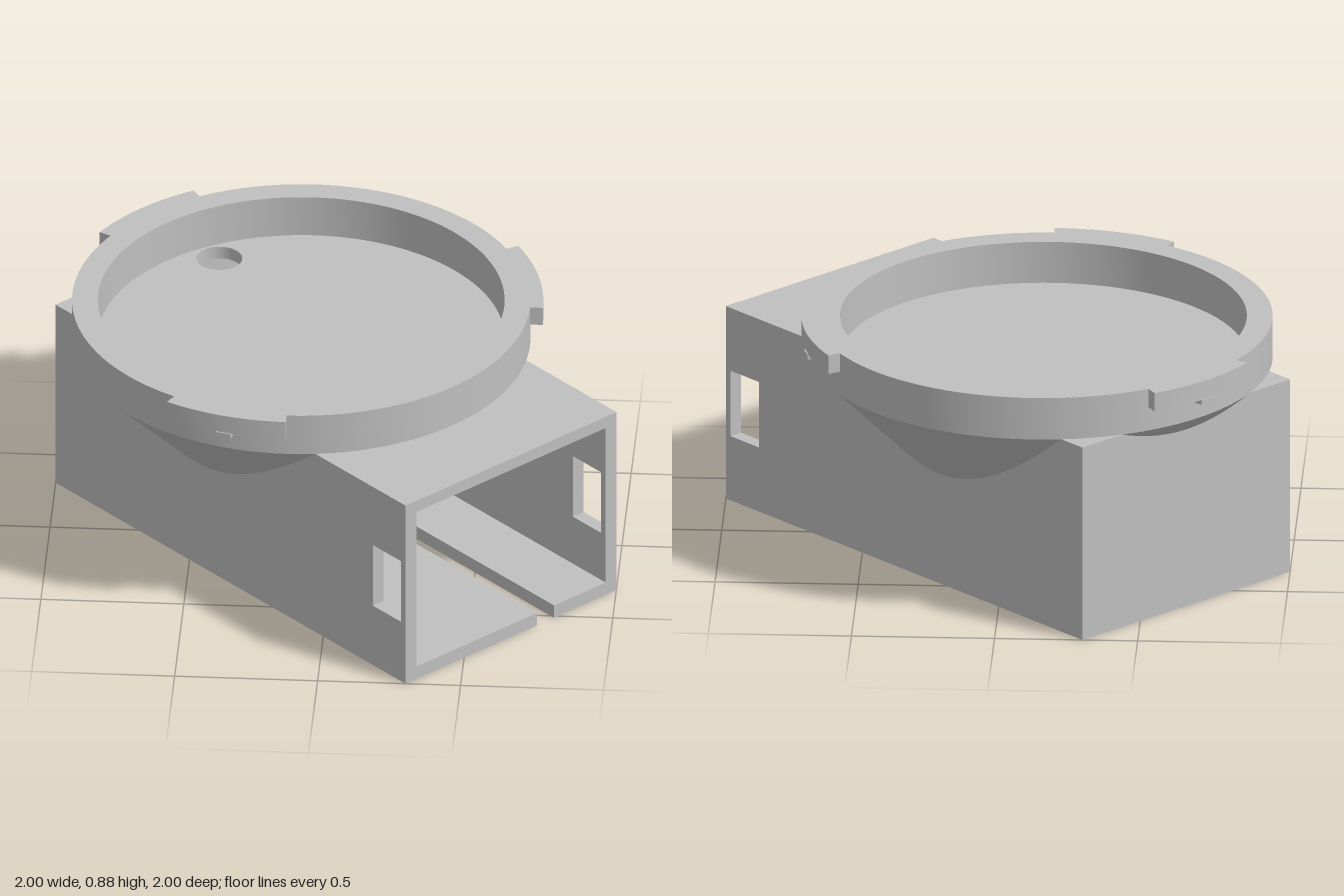
import * as THREE from 'three';
import { toCreasedNormals } from 'three/addons/utils/BufferGeometryUtils.js';
import { ParametricGeometry } from 'three/addons/geometries/ParametricGeometry.js';

const W = 0.49, L = 0.925, H = 0.72, T = 0.05;   // housing half width, half length, height, wall
const R = 0.8, RIN = 0.71, TOP = 0.875;          // pan radii and rim height
const PAN_Z = -0.184;                            // pan axis along the housing

const poly = (pts) => new THREE.Shape(pts.map(([x, y]) => new THREE.Vector2(x, y)));
const rect = (x0, y0, x1, y1) => poly([[x0, y0], [x1, y0], [x1, y1], [x0, y1]]);
const disc = (x, y, r) => new THREE.Shape().absarc(x, y, r, 0, Math.PI * 2, false);

function extrude(shape, depth) {
  return new THREE.ExtrudeGeometry(shape, { depth, bevelEnabled: false, curveSegments: 64 });
}
// Horizontal plate: shape drawn in (x, z), between y0 and y1
function slab(shape, y0, y1) {
  return toCreasedNormals(extrude(shape, y1 - y0).rotateX(Math.PI / 2).translate(0, y1, 0), 0.5);
}

export function createModel() {
  const material = new THREE.MeshStandardMaterial({ color: 0xc0c0c0 });
  material.name = 'plain grey';
  const model = new THREE.Group();
  model.name = 'panHolder';
  const add = (parent, geometry, name) => {
    const mesh = new THREE.Mesh(geometry, material);
    mesh.name = name;
    parent.add(mesh);
    return mesh;
  };

  // Housing: an open-ended box set diagonally
  const housing = new THREE.Group();
  housing.name = 'housing';
  housing.rotation.y = Math.PI / 4;
  model.add(housing);

  // Floor with a long slot open to the front and a square hole at the back
  const floor = poly([[-W, -L], [W, -L], [W, L], [0.2, L], [0.2, -0.63], [0.12, -0.63], [0.12, L], [-W, L]]);
  floor.holes.push(rect(-0.235, -L + T, 0.235, -0.7));
  add(housing, slab(floor, 0, T), 'housingFloor');

  // Ceiling with the round drain hole
  const ceiling = rect(-W, -L, W, L);
  ceiling.holes.push(disc(0.148, -0.785, 0.08));
  add(housing, slab(ceiling, 0.675, H), 'housingCeiling');

  // Side walls, each with a window near the open end
  for (const [x, name] of [[W, 'leftWall'], [-W + T, 'rightWall']]) {
    const wall = rect(-L, T, L, 0.675);
    wall.holes.push(rect(0.752, 0.24, 0.9, 0.485));
    add(housing, extrude(wall, T).rotateY(-Math.PI / 2).translate(x, 0, 0), name);
  }
  const back = new THREE.BoxGeometry(2 * (W - T), 0.675 - T, T);
  add(housing, back.translate(0, (0.675 + T) / 2, -L + T / 2), 'backWall');

  // 45 degree cone under the pan, only where it stands out beyond a housing wall
  const supports = [
    [0, W, 'leftSupport'],
    [Math.PI, W, 'rightSupport'],
    [-Math.PI / 2, L + PAN_Z, 'backSupport'],
  ];
  for (const [middle, dist, name] of supports) {
    const cone = new ParametricGeometry((u, v, p) => {
      const r = dist + (R - dist) * v * v;
      const a = middle - (2 * u - 1) * Math.acos(Math.min(1, dist / r));
      p.set(r * Math.cos(a), H - (R - r), PAN_Z + r * Math.sin(a));
    }, 40, 20);
    cone.computeVertexNormals();
    add(housing, cone, name);
  }

  // Round pan: rim and floor
  const pan = new THREE.Group();
  pan.name = 'pan';
  pan.position.set(-0.13, 0, -0.13);
  model.add(pan);
  const rim = disc(0, 0, R);
  rim.holes.push(disc(0, 0, RIN));
  add(pan, slab(rim, H, TOP), 'rim');
  const panFloor = disc(0, 0, RIN + 0.01);
  panFloor.holes.push(disc(-0.32, -0.53, 0.08));
  add(pan, slab(panFloor, H - 0.002, H + 0.002), 'panFloor');

  // Three locking tabs, each with a small nub underneath
  for (const degrees of [105, 225, 345]) {
    const mid = THREE.MathUtils.degToRad(degrees), half = Math.PI / 12;
    const tab = new THREE.Shape();
    tab.absarc(0, 0, 0.845, mid - half, mid + half, false);
    tab.absarc(0, 0, 0.795, mid + half, mid - half, true);
    add(pan, slab(tab, 0.806, TOP), 'lockingTab');
    const nub = add(pan, new THREE.BoxGeometry(0.055, 0.018, 0.055), 'tabNub');
    nub.position.set(0.822 * Math.cos(mid), 0.799, 0.822 * Math.sin(mid));
    nub.rotation.y = -mid;
  }
  return model;
}
